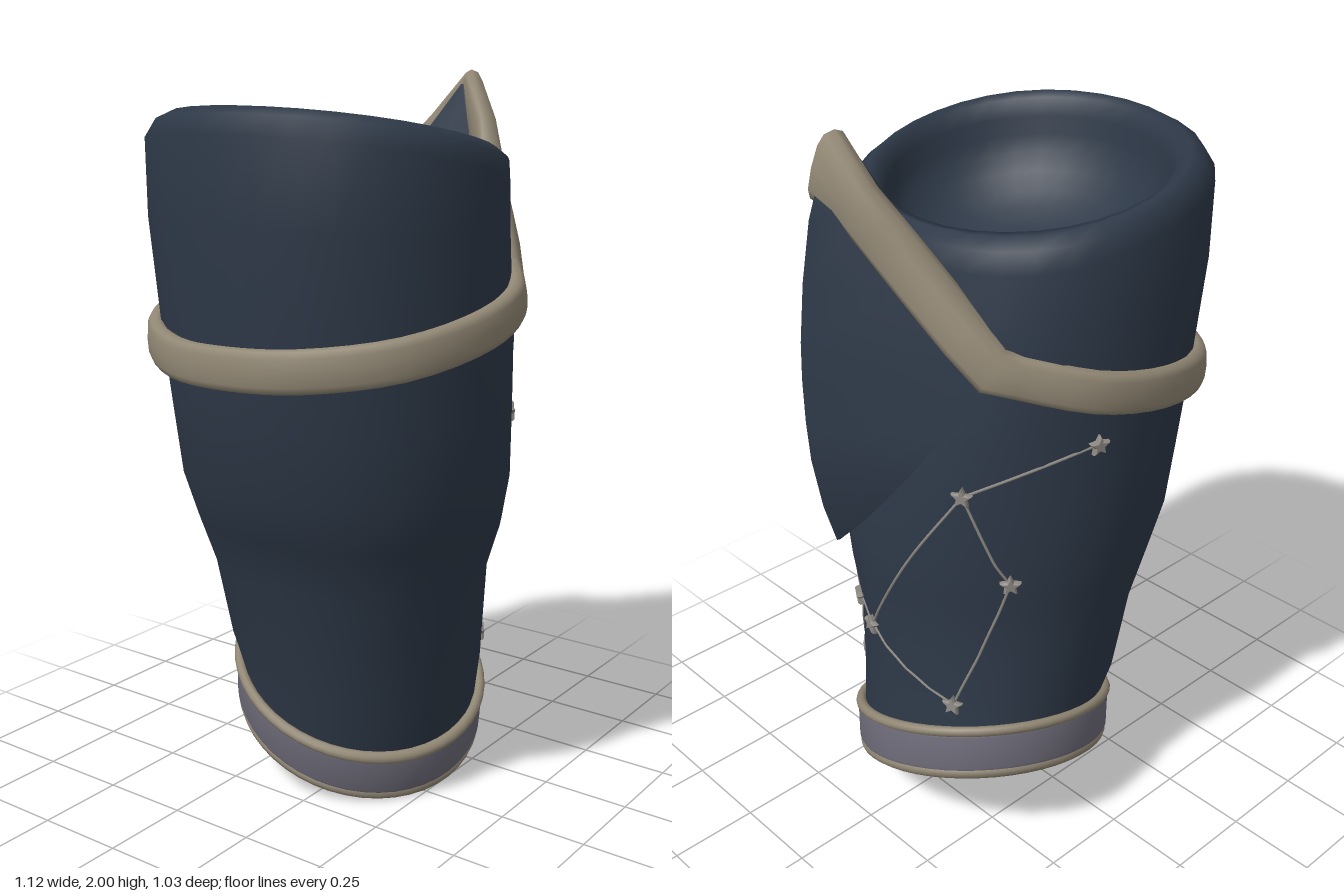
import * as THREE from 'three';

const V = (x, y, z) => new THREE.Vector3(x, y, z);

// Surface through rows of points; closed rows wrap around
function loft(rows, closed) {
  const n = rows[0].length, idx = [];
  for (let i = 0; i < rows.length - 1; i++) {
    for (let j = 0; j < (closed ? n : n - 1); j++) {
      const k = (j + 1) % n, a = i * n + j, b = i * n + k;
      idx.push(a, a + n, b, b, a + n, b + n);
    }
  }
  const g = new THREE.BufferGeometry().setFromPoints(rows.flat());
  g.setIndex(idx);
  g.computeVertexNormals();
  return g;
}

// Tilted oval ring; the last three values swell or pinch its corners:
// front left, back left, and both on the right
function ring([y, cx, cz, rx, rz, sx = 0, sz = 0, fl = 0, bl = 0, rt = 0], n = 32) {
  return Array.from({ length: n }, (_, j) => {
    const t = (j / n) * Math.PI * 2, c = Math.cos(t), s = Math.sin(t);
    const f = 1 + (c < 0 ? rt : s > 0 ? fl : bl) * Math.sin(2 * t) ** 2;
    const dx = rx * c * f, dz = rz * s * f;
    return V(cx + dx, y + sx * dx + sz * dz, cz + dz);
  });
}

// Horizontal direction away from the sleeve's axis
const outward = (p) => V(p.x + 0.07, 0, p.z).normalize();

export function createModel() {
  const model = new THREE.Group();
  const mat = (name, color, side = THREE.FrontSide) => {
    const m = new THREE.MeshStandardMaterial({ color, side });
    m.name = name;
    return m;
  };
  const navy = mat('navy leather', 0x2d3847, THREE.DoubleSide);
  const beige = mat('beige trim', 0x918774);
  const grey = mat('violet grey band', 0x6c6a77);
  const silver = mat('star metal', 0x8d8882);
  const add = (name, geometry, material, parent = model) => {
    const m = new THREE.Mesh(geometry, material);
    m.name = name;
    parent.add(m);
    return m;
  };

  // Sleeve: lower hollow, outer wall, rolled lip, upper hollow
  const low = (y, r) => [y, 0.12 + 0.13 * (0.22 - y), -0.073 - 0.13 * (0.22 - y), r, r, 0.23, -0.33];
  const top = (y, rx, rz, b = 0) => [y, -0.105, 0, rx, rz, -0.2, 0, b, b, b];
  const lowerHollow = [], upperHollow = [];
  for (let i = 0; i <= 8; i++) {
    const a = (i / 8) * Math.PI / 2, c = Math.max(0.003, Math.cos(a) ** 0.8);
    lowerHollow.unshift(low(0.18 + 0.22 * Math.sin(a), 0.325 * c));
    upperHollow.push(top(1.79 - 0.24 * Math.sin(a), 0.337 * c, 0.393 * c));
  }
  const body = add('sleeve', loft([
    ...lowerHollow,
    low(0.165, 0.325), low(0.17, 0.345), low(0.29, 0.345),
    [0.4, 0.09, -0.05, 0.36, 0.37, 0.14, -0.18, -0.05, -0.01, 0.02],
    [0.65, 0.055, -0.03, 0.385, 0.39, 0, 0, -0.08, -0.03, 0.05],
    [0.8, 0.025, -0.01, 0.425, 0.43, 0, 0, -0.09, -0.04, 0.05],
    [0.93, 0.0, -0.005, 0.46, 0.46, 0, 0, -0.1, -0.04, 0.03],
    [1.12, -0.03, 0, 0.465, 0.474, 0, 0, -0.1, -0.03, 0.02],
    [1.3, -0.055, 0, 0.465, 0.48, 0, 0, -0.07, 0, 0.02],
    [1.6, -0.1, 0, 0.437, 0.482, -0.1, 0, -0.02, 0.04, 0.045],
    [1.77, -0.115, 0, 0.423, 0.475, -0.2, 0, 0.02, 0.05, 0.05],
    top(1.82, 0.404, 0.46, 0.04), top(1.842, 0.377, 0.434, 0.02), top(1.835, 0.352, 0.41),
    ...upperHollow,
  ].map((r) => ring(r)), true), navy);

  // Wrist cuff: metal band between two beaded edges
  const cuff = new THREE.Group();
  cuff.name = 'cuff';
  model.add(cuff);
  add('cuffBand', loft([[0.16, 0.354], [0.18, 0.364], [0.27, 0.366], [0.288, 0.355]]
    .map(([y, r]) => ring(low(y, r), 48)), true), grey, cuff);
  for (const [name, y, R, r] of [['cuffLowerEdge', 0.162, 0.341, 0.021], ['cuffUpperEdge', 0.288, 0.358, 0.015]]) {
    const rows = [];
    for (let i = 0; i <= 10; i++) {
      const a = Math.PI + (i / 10) * Math.PI * 2;
      rows.push(ring(low(y + r * Math.sin(a), R + r * Math.cos(a)), 48));
    }
    add(name, loft(rows, true), beige, cuff);
  }

  // Pointed guard plate: y, back edge x z, ridge x, front edge x z
  const guard = [
    [0.9, 0.475, 0.098, 0.485, 0.475, 0.102],
    [1.02, 0.465, -0.02, 0.522, 0.42, 0.2],
    [1.17, 0.432, -0.14, 0.55, 0.345, 0.29],
    [1.28, 0.39, -0.21, 0.558, 0.265, 0.345],
    [1.4, 0.312, -0.28, 0.56, 0.175, 0.39],
    [1.5, 0.3, -0.27, 0.556, 0.2, 0.36],
    [1.65, 0.345, -0.14, 0.538, 0.275, 0.28],
    [1.8, 0.4, -0.01, 0.508, 0.36, 0.19],
    [1.94, 0.448, 0.095, 0.455, 0.448, 0.105],
  ].map(([y, bx, bz, r, fx, fz]) => [V(bx, y, bz), V(r, y, 0.1), V(fx, y, fz)]);
  add('guardPlate', loft(guard, false), navy);
  add('guardLining', loft(guard.slice(4).map((row) => [row[0], row[0].clone().lerp(row[2], 0.5), row[2]].map((p) =>
    p.clone().addScaledVector(outward(p), -0.062).add(V(0, 0.02, 0)))), false), navy);

  // Trim band: round the sleeve, then up to the peak of the guard
  const frontCorner = V(0.17, 1.475, 0.385), backCorner = V(0.29, 1.475, -0.295), peak = V(0.447, 1.92, 0.1);
  const path = new THREE.CatmullRomCurve3([
    frontCorner, V(0.05, 1.425, 0.468), V(-0.12, 1.38, 0.485), V(-0.355, 1.33, 0.4),
    V(-0.5, 1.3, 0.2), V(-0.535, 1.29, 0), V(-0.5, 1.29, -0.2), V(-0.355, 1.315, -0.4),
    V(-0.12, 1.36, -0.487), V(0.1, 1.41, -0.455), backCorner,
  ]).getPoints(40);
  for (let i = 1; i <= 6; i++) path.push(backCorner.clone().lerp(peak, i / 6));
  for (let i = 1; i < 6; i++) path.push(peak.clone().lerp(frontCorner, i / 6));
  const N = path.length;
  const soft = (v) => Math.sign(v) * Math.abs(v) ** 0.7;
  const trimRows = path.map((p, i) => {
    const ahead = path[(i + 1) % N].clone().sub(p).normalize();
    const tangent = p.clone().sub(path[(i + N - 1) % N]).normalize().add(ahead).normalize();
    const out = outward(p);
    const up = V(0, 0, 0).crossVectors(tangent, out).normalize();
    if (up.y < 0) up.negate();
    // the band leans with the guard and grows thicker on it
    const w = THREE.MathUtils.smoothstep(p.y, 1.4, 1.55);
    up.addScaledVector(out, -0.32 * w);
    const half = 0.056 / Math.max(0.7, tangent.dot(ahead)), thick = 0.027 + 0.013 * w;
    return Array.from({ length: 12 }, (_, j) => (j / 12) * Math.PI * 2).map((a) => p.clone()
      .addScaledVector(out, thick * soft(Math.cos(a)))
      .addScaledVector(up, half * soft(Math.sin(a))));
  });
  trimRows.push(trimRows[0].map((p) => p.clone()));
  // rows run against the section's turn, so reverse them to face outward
  add('trimBand', loft(trimRows.reverse(), true), beige);

  // Constellation: raised stars and thin wires laid on the sleeve
  const stars = [
    [0.313, 1.155], [0.377, 1.1], [0.28, 0.83], [0.12, 0.675], [0.235, 0.395],
    [0.03, 0.64], [-0.245, 0.495], [-0.345, 0.88], [-0.25, 1.13], [-0.455, 1.26],
  ];
  const links = [[0, 1], [1, 2], [2, 3], [3, 4], [3, 5], [5, 6], [6, 7], [7, 8], [8, 9], [5, 8]];
  const ray = new THREE.Raycaster();
  const onSleeve = (z, y) => {
    ray.set(V(2, y, z), V(-1, 0, 0));
    const { point, face } = ray.intersectObject(body)[0];
    return { point, normal: face.normal };
  };
  const shape = new THREE.Shape();
  for (let i = 0; i < 10; i++) {
    const a = (i / 10) * Math.PI * 2 + Math.PI / 2, r = i % 2 ? 0.015 : 0.03;
    shape[i ? 'lineTo' : 'moveTo'](r * Math.cos(a), r * Math.sin(a));
  }
  const starGeometry = new THREE.ExtrudeGeometry(shape, {
    depth: 0.01, bevelEnabled: true, bevelThickness: 0.006, bevelSize: 0.004, bevelOffset: -0.004, bevelSegments: 1,
  });
  const constellation = new THREE.Group();
  constellation.name = 'constellation';
  model.add(constellation);
  for (const [z, y] of stars) {
    const { point, normal } = onSleeve(z, y);
    const star = add('star', starGeometry, silver, constellation);
    star.position.copy(point);
    star.lookAt(point.clone().add(normal));
  }
  for (const [a, b] of links) {
    const pts = [];
    for (let i = 0; i <= 8; i++) {
      const t = i / 8;
      const { point, normal } = onSleeve(
        THREE.MathUtils.lerp(stars[a][0], stars[b][0], t),
        THREE.MathUtils.lerp(stars[a][1], stars[b][1], t));
      pts.push(point.clone().addScaledVector(normal, 0.001));
    }
    add('wire', new THREE.TubeGeometry(new THREE.CatmullRomCurve3(pts), 16, 0.004, 5), silver, constellation);
  }
  return model;
}
